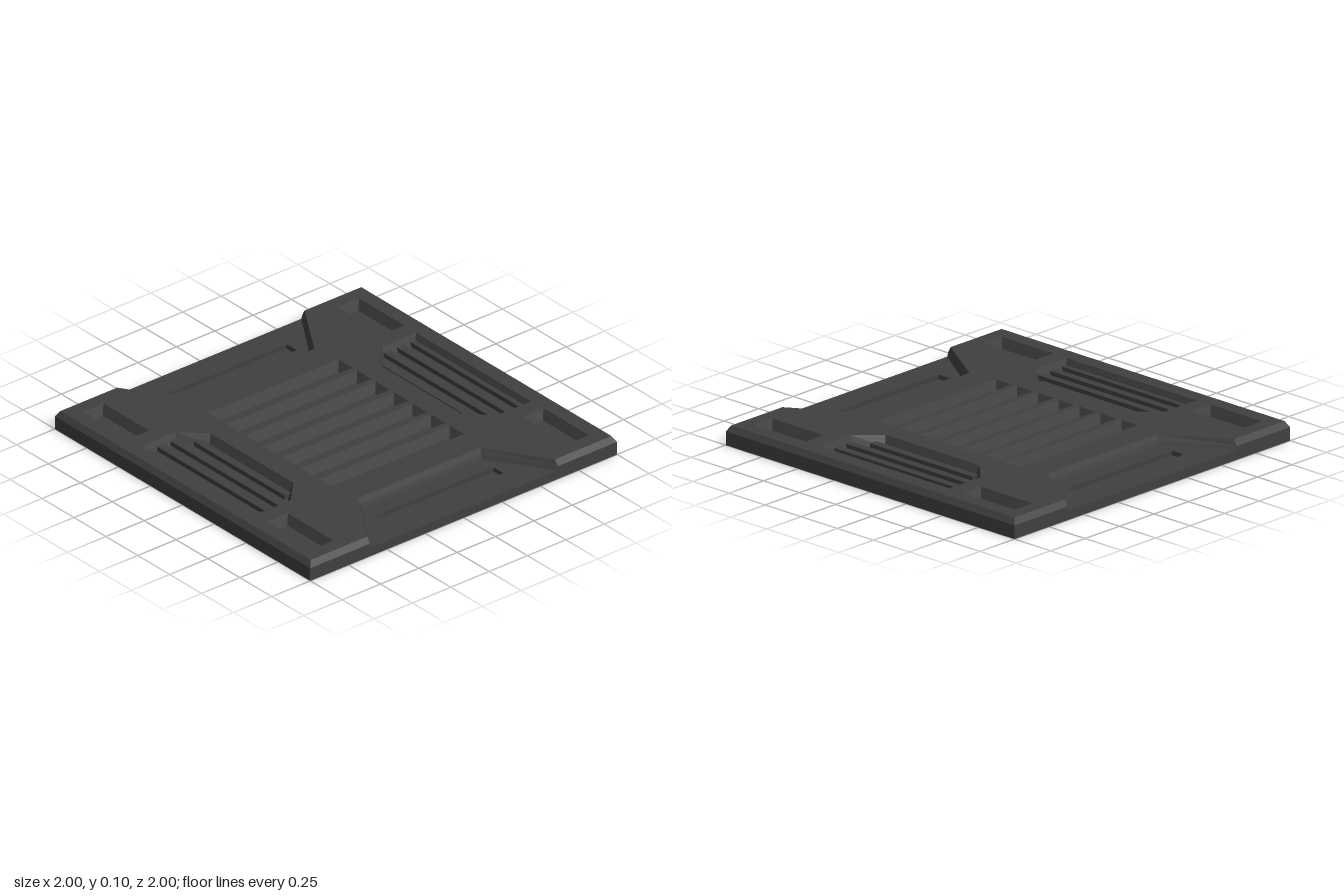
import * as THREE from 'three';

const TOP = 0.105, FLOOR = 0.05;
const material = new THREE.MeshStandardMaterial({ color: 0x404040, flatShading: true });

function add(group, name, geometry) {
  const mesh = new THREE.Mesh(geometry, material);
  mesh.name = name;
  group.add(mesh);
  return mesh;
}

// Outlines are lists of [x, z], drawn as shapes and laid flat.
const toPoints = (outline) => outline.map(([x, z]) => new THREE.Vector2(x, -z));

function flatShape(outline, holes) {
  const shape = new THREE.Shape(toPoints(outline));
  shape.holes = holes.map((h) => new THREE.Path(toPoints(h)));
  return shape;
}

// Wall between two matching outlines at two heights.
function band(lower, y0, upper, y1) {
  const pos = [];
  lower.forEach((_, i) => {
    const j = (i + 1) % lower.length;
    const a = [lower[i][0], y0, lower[i][1]], b = [upper[i][0], y1, upper[i][1]];
    const c = [upper[j][0], y1, upper[j][1]], d = [lower[j][0], y0, lower[j][1]];
    pos.push(...a, ...b, ...c, ...a, ...c, ...d);
  });
  const g = new THREE.BufferGeometry();
  g.setAttribute('position', new THREE.Float32BufferAttribute(pos, 3));
  g.computeVertexNormals();
  return g;
}

// Mirror one quarter of the outline into all four corners.
function fourWay(q) {
  const m = (sx, sz) => q.map(([x, z]) => [x * sx, z * sz]);
  return [...m(1, 1), ...m(-1, 1).reverse(), ...m(-1, -1), ...m(1, -1).reverse()];
}

// Counter-clockwise from above, so that pocket walls face inwards.
const rect = (x0, x1, z0, z1) => [[x0, z0], [x0, z1], [x1, z1], [x1, z0]];

// Shrink an outline towards the middle of its bounds.
function inset(outline, d) {
  const xs = outline.map((p) => p[0]), zs = outline.map((p) => p[1]);
  const shrink = (v, list) => {
    const lo = Math.min(...list), hi = Math.max(...list), mid = (lo + hi) / 2;
    return mid + (v - mid) * (1 - (2 * d) / (hi - lo));
  };
  return outline.map(([x, z]) => [shrink(x, xs), shrink(z, zs)]);
}

export function createModel() {
  const group = new THREE.Group();
  group.name = 'floorPanel';

  // Base slab, with a narrow slot in each side recess
  const slabY = 0.025;
  add(group, 'baseSlab', new THREE.BoxGeometry(2, slabY, 2)).position.y = slabY / 2;
  const slots = [-1, 1].map((s) => rect(s * 0.81 - 0.04, s * 0.81 + 0.04, -0.385, 0.385));
  const layer = new THREE.ExtrudeGeometry(
    flatShape(rect(-1, 1, -1, 1), slots),
    { depth: FLOOR - slabY, bevelEnabled: false });
  layer.rotateX(-Math.PI / 2).translate(0, slabY, 0);
  add(group, 'slottedLayer', layer);

  // Pockets cut into the raised deck
  const pockets = [];
  for (let i = 0; i < 7; i++) {
    const x = (i - 3) * 0.145;
    pockets.push({ name: 'ventSlot', outline: rect(x - 0.055, x + 0.055, -0.425, 0.425) });
  }
  for (const sx of [-1, 1]) for (const sz of [-1, 1]) {
    const x = sx * 0.7225, z = sz * 0.8325;
    pockets.push({
      name: 'cornerPocket',
      outline: rect(x - 0.178, x + 0.178, z - 0.066, z + 0.066),
    });
  }
  const grille = [[-0.45, 0.67], [-0.45, 0.895], [0.45, 0.895], [0.45, 0.67],
    [0.325, 0.547], [-0.325, 0.547]];
  pockets.push({ name: 'grillePocket', outline: grille });
  pockets.push({ name: 'grillePocket', outline: grille.map(([x, z]) => [-x, -z]) });

  // Raised deck: chamfered rim and sloped side recesses
  const foot = fourWay([[0.67, 0.39], [1, 0.606], [1, 1]]);
  const rim = fourWay([[0.663, 0.394], [1, 0.614], [1, 1]]);
  const crest = fourWay([[0.65, 0.4], [0.98, 0.61], [0.98, 0.98]]);
  add(group, 'deckSide', band(foot, FLOOR, rim, 0.073));
  add(group, 'deckChamfer', band(rim, 0.073, crest, TOP));
  const top = new THREE.ShapeGeometry(flatShape(crest, pockets.map((p) => p.outline)));
  top.rotateX(-Math.PI / 2).translate(0, TOP, 0);
  add(group, 'deckTop', top);
  for (const { name, outline } of pockets) {
    add(group, name, band(inset(outline, 0.02), FLOOR, outline, TOP));
  }

  // Slats across both grille pockets
  for (const s of [-1, 1]) {
    for (let i = 0; i < 4; i++) {
      const z0 = 0.587 + i * 0.087, depth = i === 3 ? 0.03 : 0.044;
      const half = Math.min(0.435, 0.325 + (z0 - 0.547) - 0.01);
      const slat = add(group, 'grilleSlat', new THREE.BoxGeometry(half * 2, 0.025, depth));
      slat.position.set(0, FLOOR + 0.0125, s * (z0 + depth / 2));
    }
  }
  return group;
}
